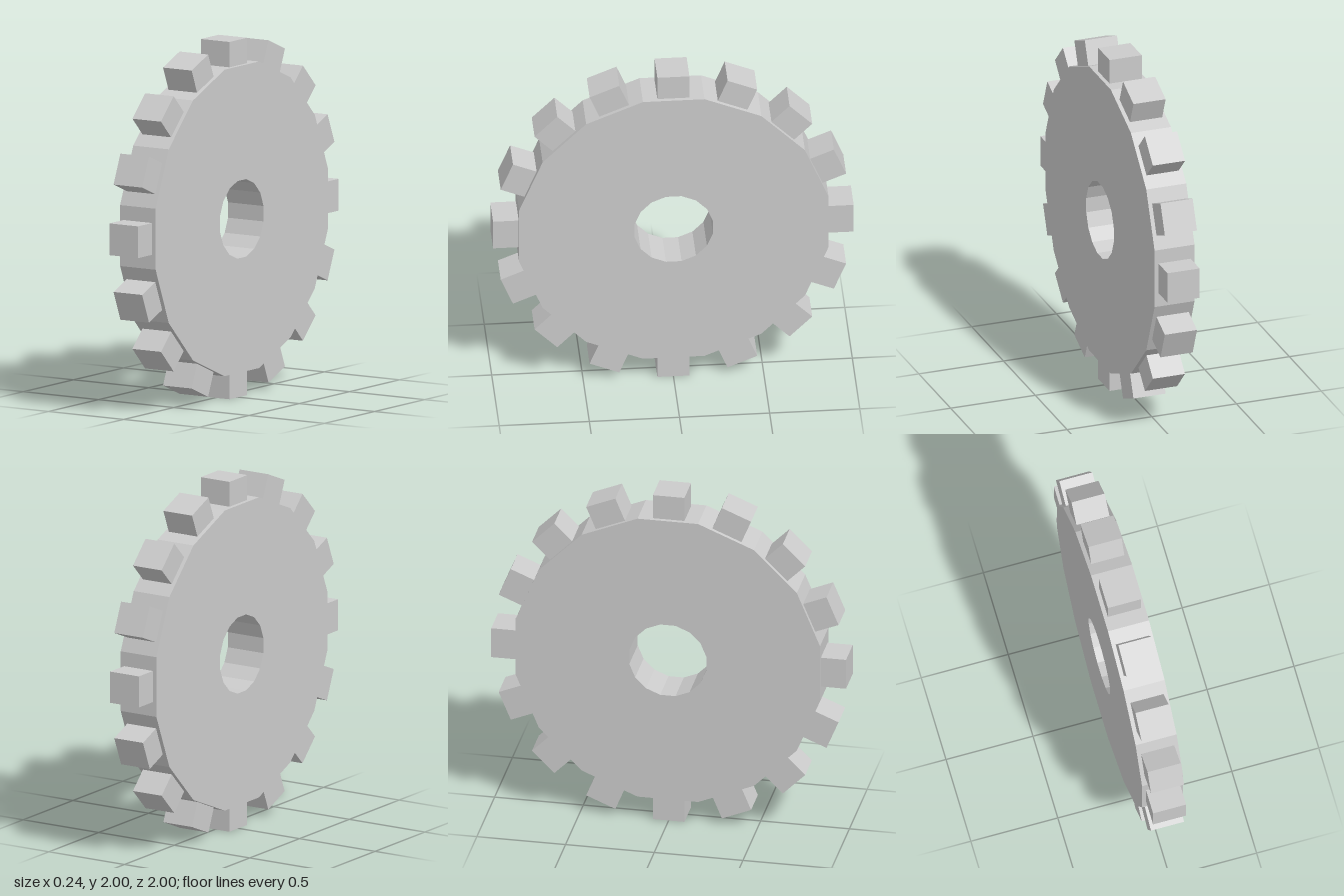
import * as THREE from 'three';

const SIDES = 16;
const STEP = (Math.PI * 2) / SIDES;

// Corners of a regular polygon with flats facing the axes
function polygon(apothem) {
  const r = apothem / Math.cos(STEP / 2);
  return Array.from({ length: SIDES }, (_, i) => {
    const a = (i + 0.5) * STEP;
    return new THREE.Vector2(r * Math.cos(a), r * Math.sin(a));
  });
}

export function createModel() {
  const group = new THREE.Group();
  group.name = 'gear';
  const material = new THREE.MeshStandardMaterial({ color: 0xcccccc, flatShading: true });

  // Faceted disc with a bore through the middle, axle along x
  const width = 0.236;
  const shape = new THREE.Shape(polygon(0.858));
  shape.holes.push(new THREE.Path(polygon(0.217)));
  const discGeometry = new THREE.ExtrudeGeometry(shape, { depth: width, bevelEnabled: false });
  discGeometry.translate(0, 0, -width / 2);
  discGeometry.rotateY(Math.PI / 2);
  const disc = new THREE.Mesh(discGeometry, material);
  disc.name = 'disc';
  disc.position.y = 1;
  group.add(disc);

  // One block tooth centred on each flat of the rim
  const teeth = new THREE.Group();
  teeth.name = 'teeth';
  teeth.position.y = 1;
  const toothGeometry = new THREE.BoxGeometry(0.19, 0.18, 0.178);
  toothGeometry.translate(0, 0.91, 0);
  for (let i = 0; i < SIDES; i++) {
    const tooth = new THREE.Mesh(toothGeometry, material);
    tooth.name = `tooth${i + 1}`;
    tooth.rotation.x = i * STEP;
    teeth.add(tooth);
  }
  group.add(teeth);

  return group;
}
